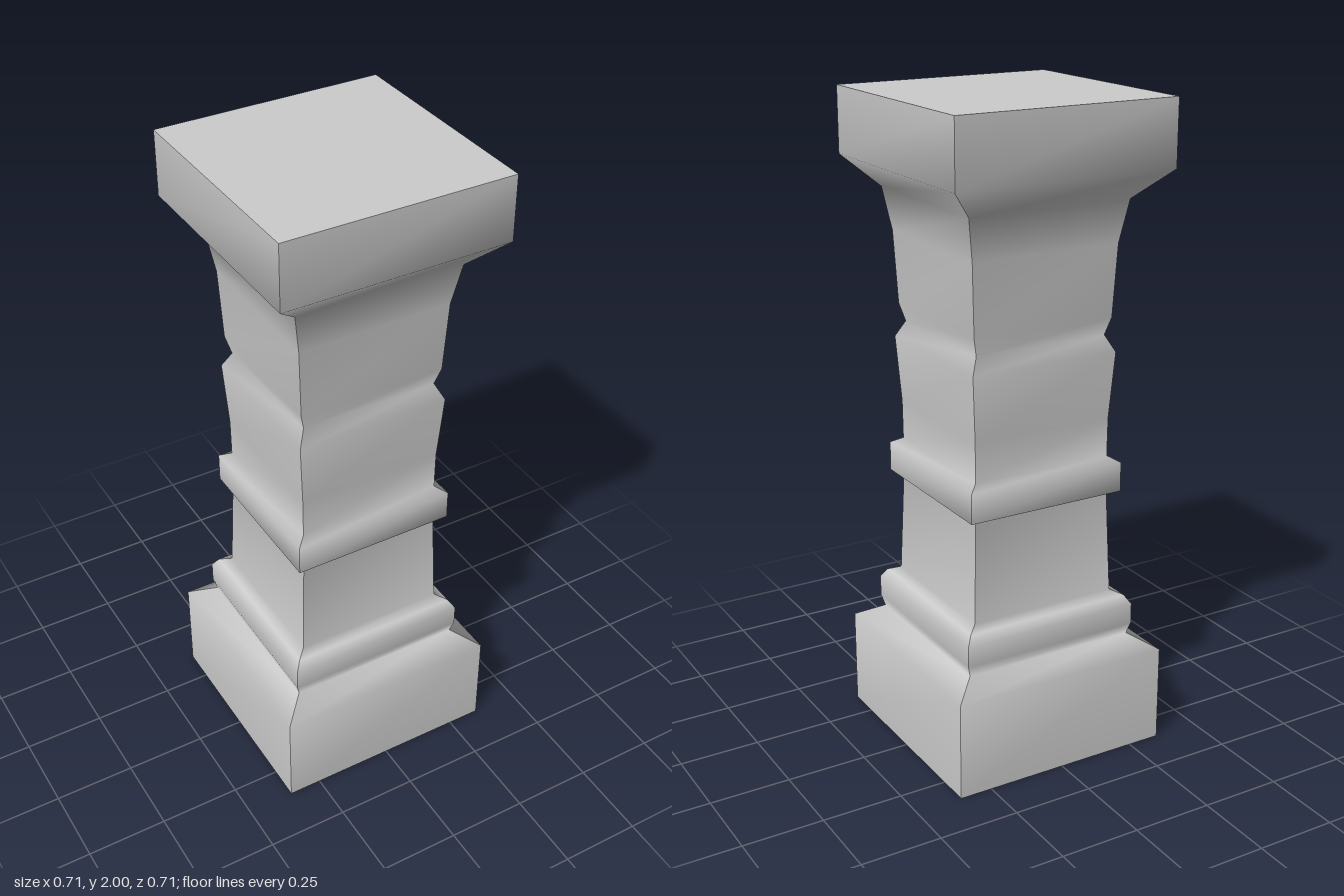
import * as THREE from 'three';
import { mergeGeometries } from 'three/addons/utils/BufferGeometryUtils.js';

// Half width and height of the square pillar, top to bottom
const PROFILE = [
  [0.353, 2.0], [0.353, 1.8],                               // capital block
  [0.262, 1.71], [0.24, 1.58], [0.23, 1.36],                // flared neck
  [0.215, 1.305], [0.24, 1.255],                            // notch
  [0.227, 1.05], [0.226, 0.93],                             // upper shaft
  [0.257, 0.912], [0.257, 0.82],                            // band
  [0.227, 0.805], [0.238, 0.492],                           // lower shaft
  [0.27, 0.478], [0.288, 0.45], [0.288, 0.385], [0.278, 0.35], // rounded moulding
  [0.353, 0.305], [0.353, 0.0],                             // plinth
];

// One side: a strip that follows the profile, mitred at the corners
function sideGeometry() {
  const geometry = new THREE.PlaneGeometry(2, 1, 1, PROFILE.length - 1);
  const position = geometry.attributes.position;
  for (let i = 0; i < position.count; i++) {
    const [r, y] = PROFILE[Math.floor(i / 2)];
    position.setXYZ(i, Math.sign(position.getX(i)) * r, y, r);
  }
  geometry.computeVertexNormals();
  return geometry;
}

export function createModel() {
  const group = new THREE.Group();
  group.name = 'pillar';
  const material = new THREE.MeshStandardMaterial({ color: 0xcccccc });
  const add = (name, geometry) => {
    const mesh = new THREE.Mesh(geometry, material);
    mesh.name = name;
    group.add(mesh);
  };

  // Four moulded sides: smooth along the profile, sharp at the corners
  const sides = [0, 1, 2, 3].map((k) => sideGeometry().rotateY((k * Math.PI) / 2));
  add('mouldedShaft', mergeGeometries(sides));

  // Flat ends
  const [topR, topY] = PROFILE[0];
  const [baseR, baseY] = PROFILE[PROFILE.length - 1];
  add('topFace', new THREE.PlaneGeometry(2 * topR, 2 * topR).rotateX(-Math.PI / 2).translate(0, topY, 0));
  add('baseFace', new THREE.PlaneGeometry(2 * baseR, 2 * baseR).rotateX(Math.PI / 2).translate(0, baseY, 0));

  return group;
}
